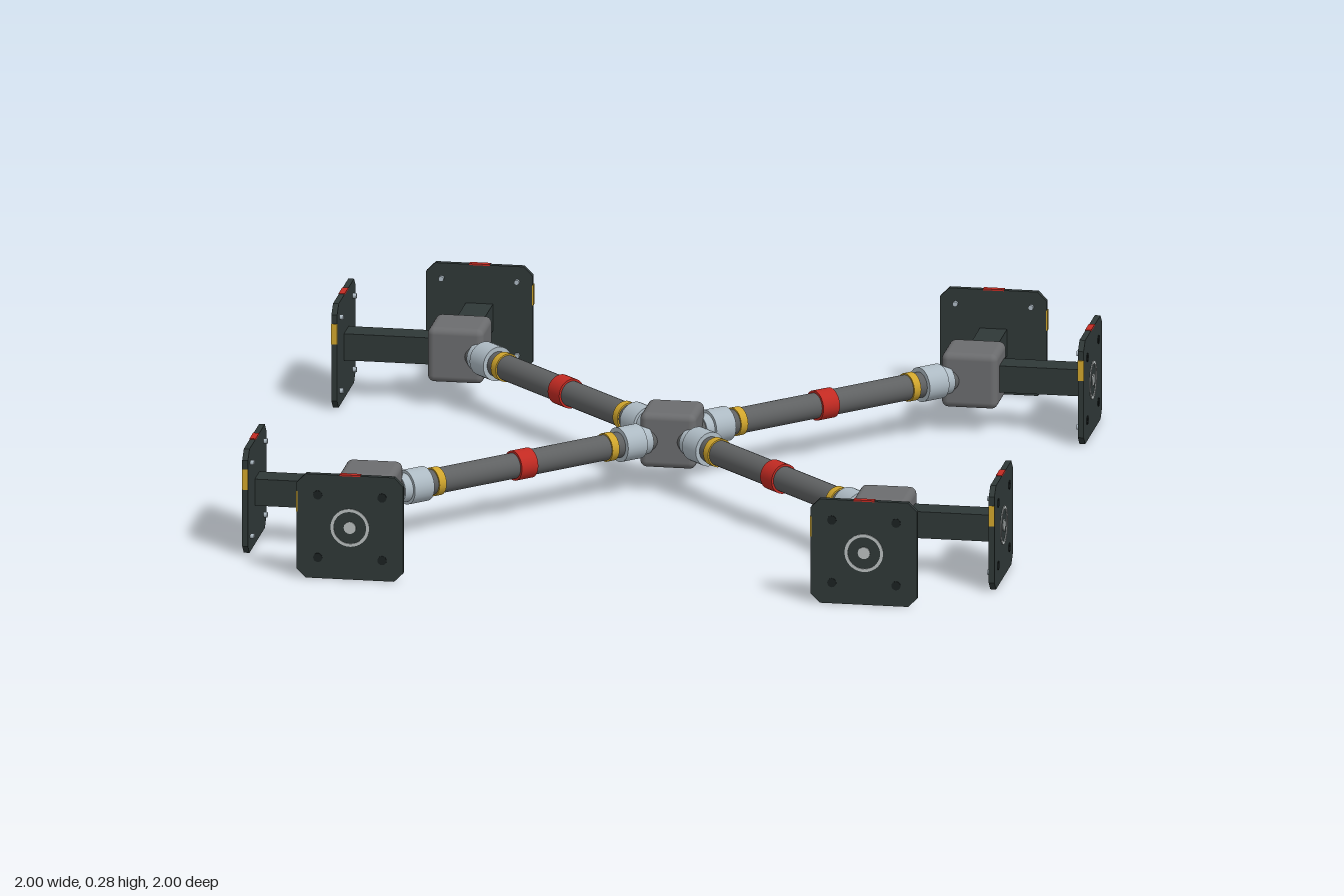
import * as THREE from 'three';
import { RoundedBoxGeometry } from 'three/addons/geometries/RoundedBoxGeometry.js';

const material = (name, color) => {
  const m = new THREE.MeshStandardMaterial({ color });
  m.name = name;
  return m;
};

const AXIS_Y = 0.142; // height of the whole frame's centre line
const CORNER = 0.68; // x and z of the corner blocks
const HALF = 0.141; // half the width of an end plate

export function createModel() {
  const mats = {
    block: material('block grey', 0x6b6c6e),
    rod: material('rod grey', 0x5f6162),
    collar: material('pale steel', 0xadbac3),
    yellow: material('yellow', 0xd0a52c),
    red: material('red', 0xc22a22),
    dark: material('dark green grey', 0x2f3837),
    bolt: material('bolt black', 0x1b2121),
    mark: material('light grey', 0xb9bfbf),
  };

  const add = (parent, name, geometry, mat, x = 0, y = 0, z = 0) => {
    const mesh = new THREE.Mesh(geometry, mat);
    mesh.name = name;
    mesh.position.set(x, y, z);
    parent.add(mesh);
    return mesh;
  };

  // Cylinder lying along z, between two z values
  const lying = (parent, name, r, z0, z1, mat, x = 0, y = 0, sides = 28) => {
    const g = new THREE.CylinderGeometry(r, r, z1 - z0, sides).rotateX(Math.PI / 2);
    return add(parent, name, g, mat, x, y, (z0 + z1) / 2);
  };

  const model = new THREE.Group();
  model.name = 'crossFrame';
  const frame = new THREE.Group();
  frame.name = 'frame';
  frame.position.y = AXIS_Y;
  model.add(frame);

  const blockGeometry = new RoundedBoxGeometry(0.148, 0.148, 0.148, 4, 0.018);
  add(frame, 'centreHub', blockGeometry, mats.block);

  // Square plate with cut corners
  const c = 0.024;
  const outline = new THREE.Shape([
    [-HALF + c, -HALF], [HALF - c, -HALF], [HALF, -HALF + c], [HALF, HALF - c],
    [HALF - c, HALF], [-HALF + c, HALF], [-HALF, HALF - c], [-HALF, -HALF + c],
  ].map(([x, y]) => new THREE.Vector2(x, y)));
  const plateGeometry = new THREE.ExtrudeGeometry(outline, { depth: 0.015, bevelEnabled: false });

  // Ring mark around the plate centre
  const ringShape = new THREE.Shape().absarc(0, 0, 0.051, 0, Math.PI * 2);
  ringShape.holes.push(new THREE.Path().absarc(0, 0, 0.043, 0, Math.PI * 2, true));
  const ringGeometry = new THREE.ExtrudeGeometry(ringShape, {
    depth: 0.003, bevelEnabled: false, curveSegments: 32,
  });

  // Outrigger pointing along +z, with its end plate
  function outrigger(tabSide) {
    const g = new THREE.Group();
    g.name = 'outrigger';
    add(g, 'squareBeam', new THREE.BoxGeometry(0.072, 0.072, 0.27), mats.dark, 0, 0, 0.17);
    const plate = new THREE.Group();
    plate.name = 'endPlate';
    plate.position.z = 0.98 - CORNER;
    g.add(plate);
    add(plate, 'plate', plateGeometry, mats.dark);
    add(plate, 'ringMark', ringGeometry, mats.mark, 0, 0, 0.0145);
    lying(plate, 'centreMark', 0.016, 0.0145, 0.018, mats.mark);
    for (const x of [-1, 1]) {
      for (const y of [-1, 1]) {
        lying(plate, 'bolt', 0.012, 0.0145, 0.017, mats.bolt, x * 0.085, y * 0.085, 16);
        lying(plate, 'boltEnd', 0.007, -0.01, 0.001, mats.collar, x * 0.1, y * 0.1, 12);
      }
    }
    // Coloured markers on the plate's edges
    add(plate, 'topMarker', new THREE.BoxGeometry(0.055, 0.004, 0.016), mats.red, 0, HALF, 0.0075);
    add(plate, 'sideMarker', new THREE.BoxGeometry(0.004, 0.055, 0.016), mats.yellow,
      tabSide * HALF, 0.065, 0.0075);
    return g;
  }

  // Diagonal arm pointing along +z
  const length = CORNER * Math.SQRT2;
  function arm() {
    const g = new THREE.Group();
    g.name = 'arm';
    lying(g, 'rod', 0.034, 0.06, length - 0.06, mats.rod);
    lying(g, 'middleBand', 0.04, length / 2 - 0.026, length / 2 + 0.026, mats.red);
    // Fittings mirrored at both ends
    const fitting = (name, r, a, b, mat) => {
      lying(g, name, r, a, b, mat);
      lying(g, name, r, length - b, length - a, mat);
    };
    fitting('collarNeck', 0.038, 0.085, 0.115, mats.collar);
    fitting('collar', 0.046, 0.11, 0.172, mats.collar);
    fitting('yellowBand', 0.038, 0.194, 0.216, mats.yellow);
    return g;
  }

  for (const sx of [-1, 1]) {
    for (const sz of [-1, 1]) {
      const a = arm();
      a.rotation.y = Math.atan2(sx, sz);
      frame.add(a);

      const corner = new THREE.Group();
      corner.name = 'corner';
      corner.position.set(sx * CORNER, 0, sz * CORNER);
      frame.add(corner);
      add(corner, 'cornerBlock', blockGeometry, mats.block);
      const sideways = outrigger(-sx);
      sideways.rotation.y = sx * Math.PI / 2;
      const lengthways = outrigger(-1);
      lengthways.rotation.y = sz > 0 ? 0 : Math.PI;
      corner.add(sideways, lengthways);
    }
  }
  return model;
}
